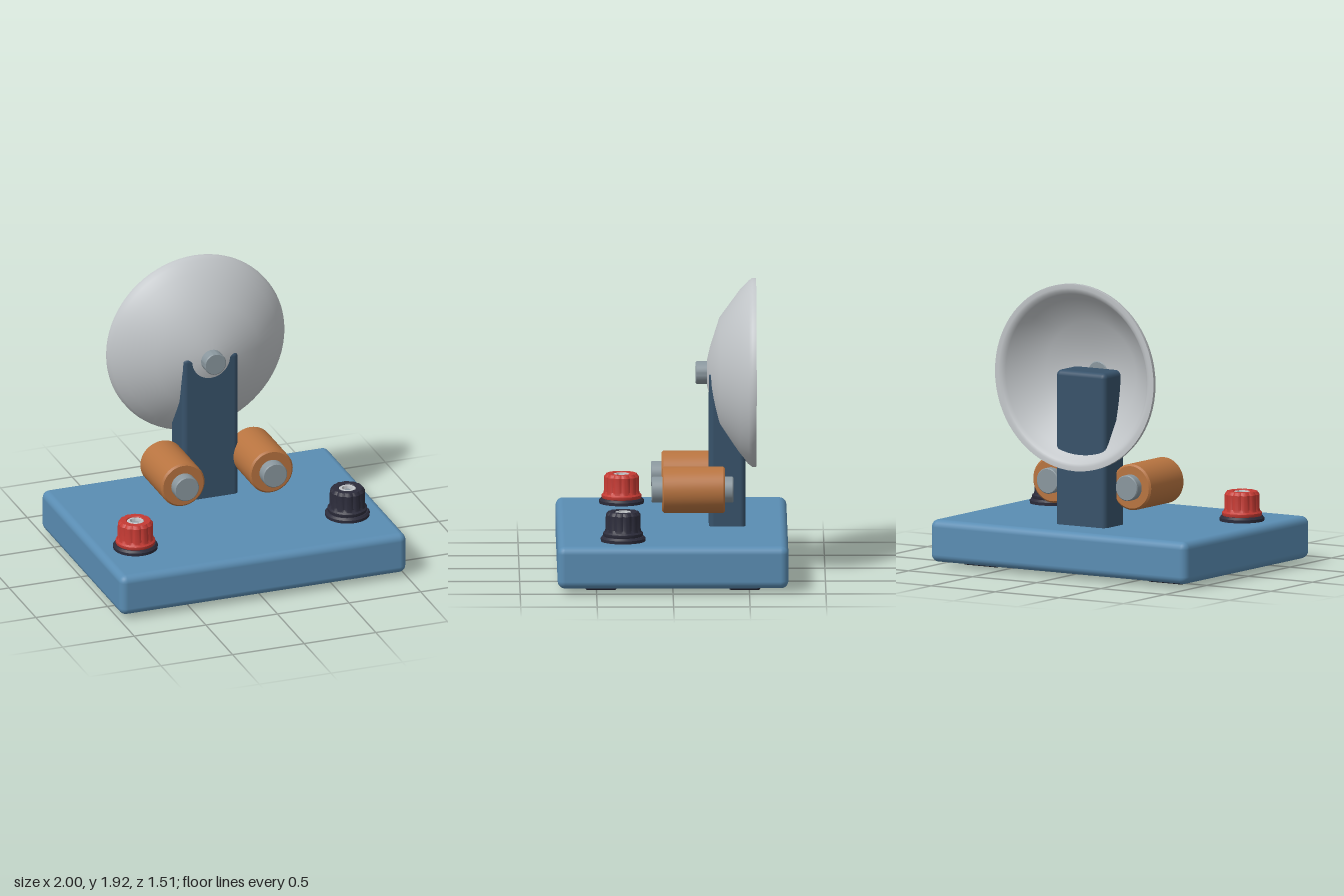
import * as THREE from 'three';
import { RoundedBoxGeometry } from 'three/addons/geometries/RoundedBoxGeometry.js';
import { toCreasedNormals } from 'three/addons/utils/BufferGeometryUtils.js';

const mat = (name, color) => new THREE.MeshStandardMaterial({ name, color });

export function createModel() {
  const blue = mat('base blue', 0x5a8db3), slate = mat('post slate', 0x37526a);
  const copper = mat('copper', 0xb87440), steel = mat('steel', 0x8a979e);
  const silver = mat('silver', 0xc2c6c9), black = mat('black', 0x2c2c3b), red = mat('red', 0xc43a33);

  const model = new THREE.Group();
  model.name = 'electricBell';

  function add(name, geometry, material, x, y, z, parent = model) {
    const mesh = new THREE.Mesh(geometry, material);
    mesh.name = name;
    mesh.position.set(x, y, z);
    parent.add(mesh);
    return mesh;
  }
  // Turned solid from [radius, height] points
  const turned = (points, segments = 48, crease = 0.55) => toCreasedNormals(
    new THREE.LatheGeometry(points.map(([r, h]) => new THREE.Vector2(r, h)), segments), crease);
  // Bevelled rod lying along z, from z0 (back) to z1 (front)
  function rod(radius, z0, z1, bevel) {
    return turned([[0, z0], [radius - bevel, z0], [radius, z0 + bevel],
      [radius, z1 - bevel], [radius - bevel, z1], [0, z1]]).rotateX(Math.PI / 2);
  }

  // Base slab and its four feet
  add('base', new RoundedBoxGeometry(2, 0.28, 1.51, 3, 0.05), blue, 0, 0.17, 0);
  for (const sx of [-1, 1]) for (const sz of [-1, 1]) {
    add('foot', new RoundedBoxGeometry(0.27, 0.07, 0.205, 2, 0.015), black, sx * 0.72, 0.035, sz * 0.47);
  }

  // Upright post carrying the gong
  add('post', new RoundedBoxGeometry(0.39, 1.08, 0.24, 3, 0.035), slate, 0, 0.79, -0.36);

  // Gong bowl, opening backwards, with thick rolled lip
  const gongProfile = [
    [0, -0.26], [0.08, -0.264], [0.16, -0.283], [0.35, -0.345], [0.51, -0.465], [0.55, -0.525],
    [0.57, -0.545], [0.59, -0.55], [0.618, -0.55], [0.618, -0.525], [0.6, -0.5], [0.54, -0.443],
    [0.36, -0.31], [0.17, -0.249], [0.08, -0.228], [0, -0.222],
  ];
  add('gong', turned(gongProfile, 72, 0.7).rotateX(Math.PI / 2), silver, 0, 1.3, 0);
  add('gongBolt', rod(0.075, -0.27, -0.155, 0.006), steel, 0, 1.3, 0);

  // Electromagnet coils with protruding cores
  for (const sx of [-1, 1]) {
    const magnet = new THREE.Group();
    magnet.name = sx > 0 ? 'leftMagnet' : 'rightMagnet';
    magnet.position.set(sx * 0.308, 0.575, 0);
    model.add(magnet);
    add('coil', rod(0.152, -0.345, 0.066, 0.012), copper, 0, 0, 0, magnet);
    add('core', rod(0.085, -0.4, 0.135, 0.006), steel, 0, 0, 0, magnet);
  }

  // Fluted terminal knob with a recessed top
  function knobGeometry() {
    const profile = [[0.125, 0.03], [0.13, 0.04], [0.13, 0.055], [0.12, 0.065], [0.117, 0.08],
      [0.115, 0.175], [0.1, 0.195], [0.06, 0.195], [0.056, 0.19], [0.056, 0.15]];
    const geo = new THREE.LatheGeometry(profile.map(([r, h]) => new THREE.Vector2(r, h)), 96);
    const p = geo.attributes.position;
    for (let i = 0; i < p.count; i++) {
      const x = p.getX(i), y = p.getY(i), z = p.getZ(i);
      if (y < 0.07 || Math.hypot(x, z) < 0.09) continue;
      const k = 1 - 0.06 * Math.pow(0.5 + 0.5 * Math.cos(12 * Math.atan2(z, x)), 3);
      p.setXYZ(i, x * k, y, z * k);
    }
    return toCreasedNormals(geo, 0.5);
  }

  // Terminals: red on the right, black on the left
  for (const [sx, color] of [[-1, red], [1, black]]) {
    const terminal = new THREE.Group();
    terminal.name = sx > 0 ? 'leftTerminal' : 'rightTerminal';
    terminal.position.set(sx * 0.74, 0.31, 0.325);
    model.add(terminal);
    add('flange', turned([[0, -0.01], [0.145, -0.01], [0.147, 0.02], [0.135, 0.034], [0, 0.034]]),
      black, 0, 0, 0, terminal);
    add('knob', knobGeometry(), color, 0, 0, 0, terminal);
    add('socketRing', turned([[0.056, 0.15], [0.056, 0.188], [0.05, 0.192], [0.036, 0.192], [0.034, 0.185], [0.034, 0.15]].reverse()
      .map(([r, h]) => [r, h]).reverse()), silver, 0, 0, 0, terminal);
    add('socketCore', new THREE.CylinderGeometry(0.036, 0.036, 0.03, 24), steel, 0, 0.155, 0, terminal);
  }

  return model;
}
